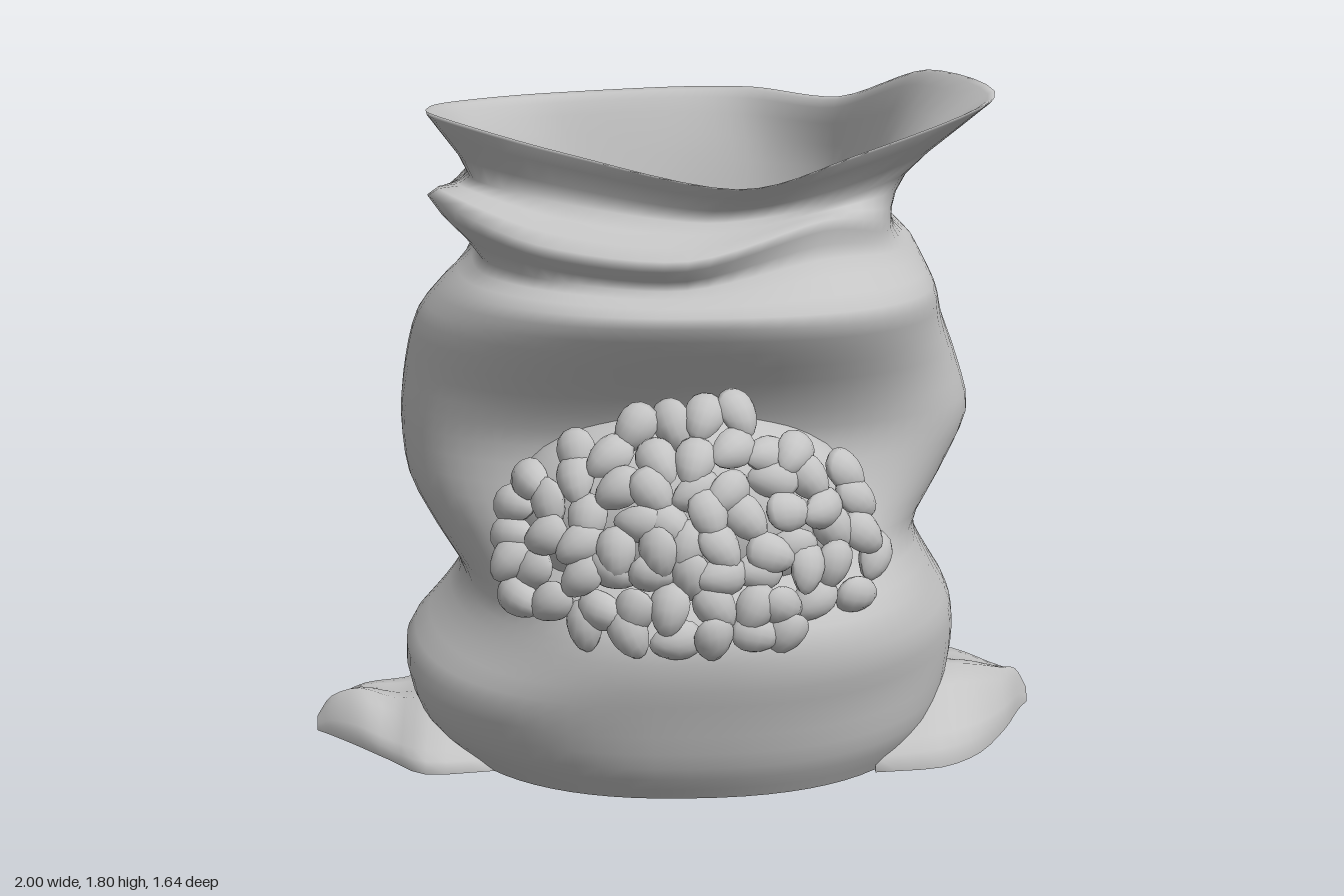
import * as THREE from 'three';

const U = 72; // points around each ring
const V = 3;  // samples between control rings
const clothGrey = new THREE.MeshStandardMaterial({ color: 0xc4c4c4, side: THREE.DoubleSide });
clothGrey.name = 'clothGrey';

// seeded random numbers
let seed = 7;
const rand = () => (seed = (seed * 16807) % 2147483647) / 2147483647;

// sack body: height, right extent (-x), left extent (+x), back, front
const BODY_LOW = [
  [0, -0.64, 0.67, -0.58, 0.62],
  [0.1, -0.73, 0.72, -0.65, 0.68],
  [0.24, -0.77, 0.75, -0.72, 0.72],
  [0.36, -0.66, 0.76, -0.77, 0.75],
  [0.47, -0.59, 0.71, -0.80, 0.74],
  [0.6, -0.66, 0.65, -0.82, 0.62],
];
const BODY_HIGH = [
  [0.73, -0.74, 0.71, -0.83, 0.52],
  [0.88, -0.775, 0.78, -0.825, 0.47],
  [1.02, -0.75, 0.765, -0.81, 0.53],
  [1.15, -0.70, 0.73, -0.785, 0.63],
  [1.25, -0.62, 0.70, -0.76, 0.68],
];

// collar rings, twelve points each, from +x round by the front
const CREASE = [
  [0.64, 1.35, -0.1], [0.55, 1.35, 0.25], [0.33, 1.36, 0.47], [0, 1.30, 0.56],
  [-0.3, 1.31, 0.49], [-0.5, 1.33, 0.28], [-0.54, 1.35, 0], [-0.56, 1.37, -0.35],
  [-0.4, 1.38, -0.61], [0, 1.38, -0.72], [0.36, 1.37, -0.65], [0.59, 1.36, -0.42],
];
const LOWER_FOLD = [
  [0.57, 1.42, -0.1], [0.53, 1.43, 0.25], [0.35, 1.46, 0.46], [0, 1.38, 0.61],
  [-0.37, 1.41, 0.52], [-0.64, 1.50, 0.3], [-0.63, 1.48, 0], [-0.58, 1.47, -0.35],
  [-0.39, 1.48, -0.6], [0, 1.46, -0.69], [0.34, 1.44, -0.62], [0.55, 1.43, -0.42],
];
const NECK = [
  [0.59, 1.52, -0.1], [0.57, 1.54, 0.2], [0.33, 1.48, 0.37], [0.05, 1.45, 0.43],
  [-0.28, 1.49, 0.38], [-0.52, 1.54, 0.28], [-0.56, 1.55, 0], [-0.55, 1.56, -0.33],
  [-0.36, 1.55, -0.57], [0, 1.54, -0.64], [0.3, 1.52, -0.58], [0.51, 1.52, -0.4],
];
const RIM = [
  [0.67, 1.78, -0.04], [0.8, 1.73, 0.2], [0.42, 1.61, 0.43], [0.12, 1.54, 0.5],
  [-0.3, 1.62, 0.43], [-0.61, 1.7, 0.34], [-0.66, 1.7, 0.05], [-0.62, 1.69, -0.3],
  [-0.4, 1.69, -0.56], [0, 1.7, -0.66], [0.25, 1.7, -0.62], [0.48, 1.69, -0.4],
];

// rounded section with separate extents on each side and slanting wrinkles
function bodyRing([y, xl, xr, zb, zf]) {
  const zc = -0.1;
  return Array.from({ length: U }, (_, j) => {
    const a = (j / U) * Math.PI * 2, c = Math.cos(a), s = Math.sin(a);
    const p = 2 / (s > 0 ? 2.3 : 2.05);
    const wave = 1 + 0.02 * Math.sin(9 * y + 3 * a) * Math.abs(c) * Math.min(1, y * 4);
    const x = Math.sign(c) * Math.abs(c) ** p * (c > 0 ? xr : -xl);
    const z = Math.sign(s) * Math.abs(s) ** p * (s > 0 ? zf - zc : zc - zb);
    return new THREE.Vector3(x * wave, y, zc + z * wave);
  });
}

// smooth closed ring through the collar points
function collarRing(points) {
  const curve = new THREE.CatmullRomCurve3(points.map(p => new THREE.Vector3(...p)), true, 'catmullrom', 0.45);
  return Array.from({ length: U }, (_, j) => curve.getPoint(j / U));
}

// scaled copy of a ring about the mouth's centre; y comes from a rule
const inset = (ring, k, yRule) => ring.map(p =>
  new THREE.Vector3(-0.08 + (p.x + 0.08) * k, yRule(p.y), -0.1 + (p.z + 0.1) * k));

// skin over a list of closed rings
function loft(rings) {
  const n = rings[0].length, pos = [], index = [];
  rings.forEach(r => r.forEach(p => pos.push(p.x, p.y, p.z)));
  for (let i = 0; i < rings.length - 1; i++) {
    for (let j = 0; j < n; j++) {
      const a = i * n + j, b = i * n + (j + 1) % n;
      index.push(a, a + n, b, b, a + n, b + n);
    }
  }
  const g = new THREE.BufferGeometry();
  g.setAttribute('position', new THREE.Float32BufferAttribute(pos, 3));
  g.setIndex(index);
  g.computeVertexNormals();
  return g;
}

// splines up each column of control rings
function smoothRings(rings) {
  const columns = rings[0].map((_, j) =>
    new THREE.CatmullRomCurve3(rings.map(r => r[j]), false, 'catmullrom', 0.45));
  const steps = (rings.length - 1) * V;
  return Array.from({ length: steps + 1 }, (_, i) => columns.map(c => c.getPoint(i / steps)));
}

// sack corner lying on the ground: x, back z, front z, height (x rising)
function corner(sections) {
  return loft(smoothRings(sections.map(([x, zb, zf, h]) => Array.from({ length: 24 }, (_, j) => {
    const a = (j / 24) * Math.PI * 2, s = Math.max(0, Math.sin(a));
    return new THREE.Vector3(x, s * h * (0.88 + 0.12 * Math.cos(5 * a)), (zb + zf) / 2 + Math.cos(a) * (zf - zb) / 2);
  }))));
}

export function createModel() {
  const model = new THREE.Group();
  model.name = 'sackOfBeans';
  const add = (name, geometry, parent = model) => {
    const m = new THREE.Mesh(geometry, clothGrey);
    m.name = name;
    parent.add(m);
    return m;
  };

  // cloth: body, lower fold, rim and inside
  const rim = collarRing(RIM), neck = collarRing(NECK);
  const outer = [...BODY_LOW, ...BODY_HIGH].map(bodyRing);
  const base = outer[0];
  add('sackCloth', loft(smoothRings([
    ...outer, collarRing(CREASE), collarRing(LOWER_FOLD), neck, rim,
    inset(rim, 0.95, y => y - 0.02),
    inset(neck, 0.9, y => y - 0.02),
    inset(neck, 0.8, () => 1.3),
    inset(neck, 0.6, () => 1.19),
    inset(neck, 0.02, () => 1.17),
  ])));

  // flat bottom
  add('sackBottom', loft([base.map(p => new THREE.Vector3(0, 0, 0)), base]));

  // tied corners
  add('rightCorner', corner([
    [-1, 0.03, 0.06, 0.04], [-0.96, -0.03, 0.1, 0.1], [-0.88, -0.13, 0.19, 0.13],
    [-0.78, -0.25, 0.31, 0.11], [-0.68, -0.29, 0.42, 0.13], [-0.5, -0.2, 0.4, 0.12],
  ]));
  add('leftCorner', corner([
    [0.5, -0.2, 0.45, 0.16], [0.68, -0.32, 0.42, 0.2], [0.8, -0.33, 0.31, 0.18],
    [0.9, -0.24, 0.12, 0.14], [0.96, -0.19, -0.03, 0.11], [1, -0.16, -0.11, 0.04],
  ]));

  // heap under the beans
  const heap = add('beanHeap', new THREE.SphereGeometry(1, 32, 20));
  heap.scale.set(0.45, 0.27, 0.28);
  heap.position.set(0, 0.72, 0.42);

  // beans spread over the heap, in staggered rows
  const beans = new THREE.Group();
  beans.name = 'beans';
  model.add(beans);
  const bean = new THREE.SphereGeometry(1, 12, 8);
  const q = bean.attributes.position;
  for (let i = 0; i < q.count; i++) { // flattened egg with a thin edge
    const x = q.getX(i), y = q.getY(i), z = q.getZ(i);
    q.setXYZ(i, x * 0.068, y * 0.05 * (1 + 0.2 * x), z * Math.abs(z) ** 0.3 * 0.038);
  }
  bean.computeVertexNormals();
  const halfWidths = [0.24, 0.42, 0.46, 0.45, 0.43, 0.38, 0.28, 0.12];
  const forward = new THREE.Vector3(0, 0, 1);
  halfWidths.forEach((w, row) => {
    const count = Math.round(2 * w / 0.092) + 1;
    for (let k = 0; k < count; k++) {
      const x = -w + (2 * w * k) / (count - 1) + (rand() - 0.5) * 0.04;
      const y = 0.47 + row * 0.073 + (rand() - 0.5) * 0.035;
      const z = 0.765 - 0.9 * x * x - 0.85 * (y - 0.55) ** 2 + (rand() - 0.5) * 0.03;
      const normal = new THREE.Vector3(1.6 * x + (rand() - 0.5) * 0.8, 1.5 * (y - 0.6) + (rand() - 0.5) * 0.8, 1);
      const b = add('bean', bean, beans);
      b.position.set(x, y, z);
      b.quaternion.setFromUnitVectors(forward, normal.normalize());
      b.rotateZ(rand() * Math.PI);
    }
  });
  return model;
}
